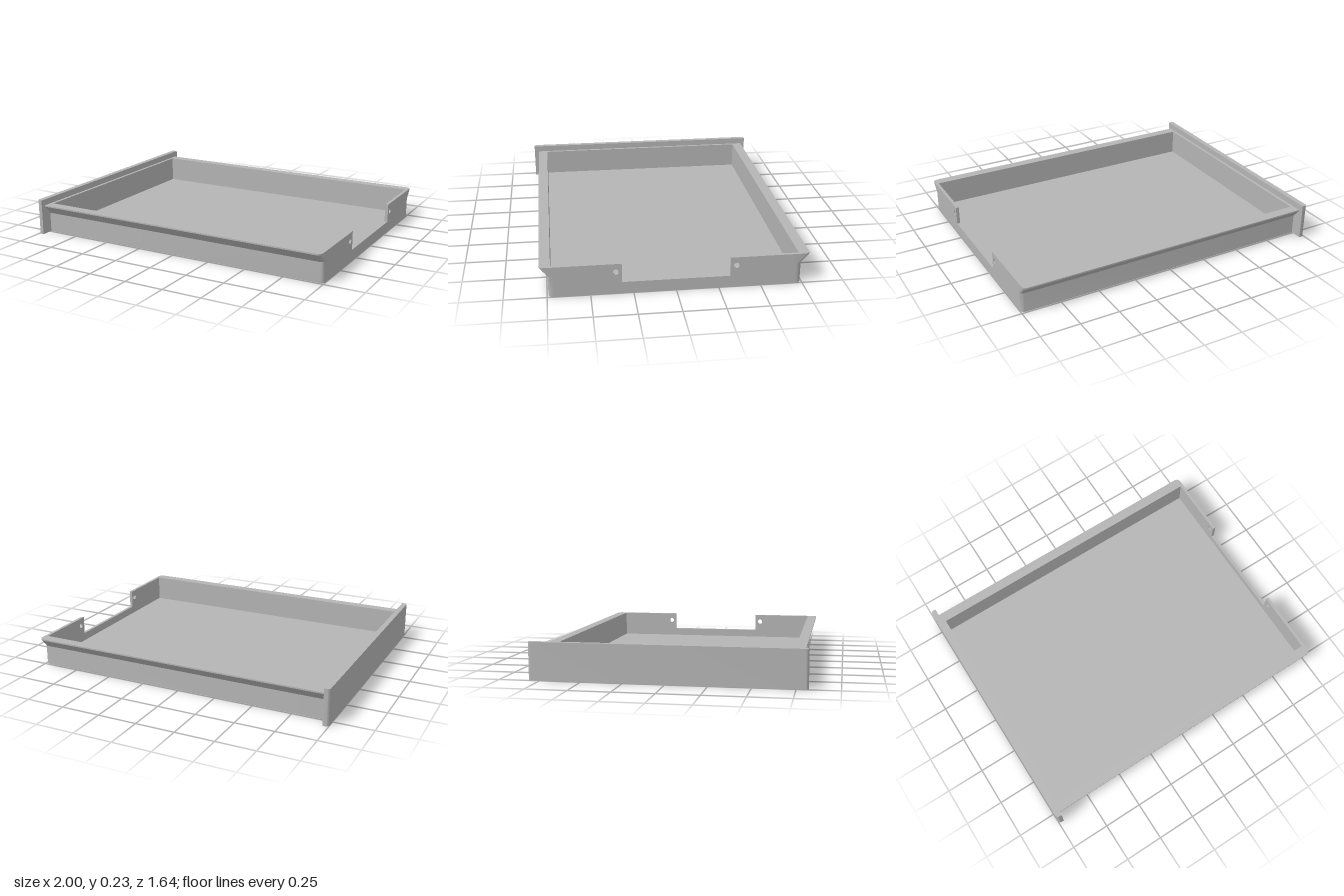
import * as THREE from 'three';
import { toCreasedNormals } from 'three/addons/utils/BufferGeometryUtils.js';

const FRONT = -0.965, BACK = 1, WALL = 0.02, INNER_Z = 0.725, JOINT_Z = 0.7;
const TOP = 0.19, FLOOR = 0.02, RADIUS = 0.03;

// Plan outline of one side wall, with a rounded rear corner
function sideOutline(halfWidth) {
  const pts = [[FRONT, INNER_Z], [FRONT, halfWidth]];
  for (let i = 0; i <= 6; i++) {
    const a = (i / 6) * Math.PI / 2;
    pts.push([BACK - RADIUS + RADIUS * Math.sin(a), halfWidth - RADIUS + RADIUS * Math.cos(a)]);
  }
  pts.push([BACK, JOINT_Z], [BACK - WALL, JOINT_Z], [BACK - WALL, INNER_Z]);
  return pts;
}

// Side wall lofted upward through [height, half width] levels, flaring into a runner
function sideWall(side) {
  const levels = [[0, 0.742], [0.127, 0.742], [0.181, 0.79], [TOP, 0.79]];
  const rings = levels.map(([y, w]) => sideOutline(w).map(([x, z]) => [x, y, z * side]));
  const pos = [];
  const tri = (a, b, c) => pos.push(...(side > 0 ? [a, b, c] : [a, c, b]).flat());
  for (let k = 0; k < rings.length - 1; k++) {
    const lo = rings[k], hi = rings[k + 1];
    lo.forEach((p, i) => {
      const j = (i + 1) % lo.length;
      tri(p, lo[j], hi[j]);
      tri(p, hi[j], hi[i]);
    });
  }
  for (const [ring, width, up] of [[rings[0], 0.742, false], [rings[3], 0.79, true]]) {
    const contour = sideOutline(width).map(([x, z]) => new THREE.Vector2(x, -z));
    for (const [a, b, c] of THREE.ShapeUtils.triangulateShape(contour, [])) {
      if (up) tri(ring[a], ring[b], ring[c]);
      else tri(ring[a], ring[c], ring[b]);
    }
  }
  const geo = new THREE.BufferGeometry();
  geo.setAttribute('position', new THREE.Float32BufferAttribute(pos, 3));
  return toCreasedNormals(geo, 0.5);
}

// Rear wall with a central notch and two screw holes
function rearWall() {
  const s = new THREE.Shape();
  s.moveTo(-JOINT_Z, 0);
  s.lineTo(JOINT_Z, 0);
  s.lineTo(JOINT_Z, TOP);
  s.lineTo(0.318, TOP);
  s.lineTo(0.318, 0.072);
  s.lineTo(-0.318, 0.072);
  s.lineTo(-0.318, TOP);
  s.lineTo(-JOINT_Z, TOP);
  s.closePath();
  for (const u of [-0.353, 0.353]) {
    s.holes.push(new THREE.Path().absarc(u, 0.138, 0.017, 0, Math.PI * 2, true));
  }
  const geo = new THREE.ExtrudeGeometry(s, { depth: WALL, bevelEnabled: false, curveSegments: 20 });
  return toCreasedNormals(geo.rotateY(Math.PI / 2).translate(BACK - WALL, 0, 0), 0.5);
}

// Face plate with its two outer upright edges rounded
function facePlate() {
  const w = 0.82, r = 0.018;
  const s = new THREE.Shape();
  s.moveTo(FRONT, -w);
  s.lineTo(FRONT, w);
  s.lineTo(-1 + r, w);
  s.absarc(-1 + r, w - r, r, Math.PI / 2, Math.PI, false);
  s.lineTo(-1, -w + r);
  s.absarc(-1 + r, -w + r, r, Math.PI, Math.PI * 1.5, false);
  s.closePath();
  const geo = new THREE.ExtrudeGeometry(s, { depth: 0.23, bevelEnabled: false, curveSegments: 6 });
  return toCreasedNormals(geo.rotateX(-Math.PI / 2), 0.5);
}

export function createModel() {
  const group = new THREE.Group();
  group.name = 'drawer';
  const grey = new THREE.MeshStandardMaterial({ color: 0xb4b4b4 });
  grey.name = 'grey';
  const add = (name, geo) => {
    const mesh = new THREE.Mesh(geo, grey);
    mesh.name = name;
    group.add(mesh);
  };
  const innerLength = BACK - WALL - FRONT;

  add('floor', new THREE.BoxGeometry(innerLength, FLOOR, INNER_Z * 2)
    .translate(FRONT + innerLength / 2, FLOOR / 2, 0));
  add('frontWall', new THREE.BoxGeometry(WALL, TOP - FLOOR, INNER_Z * 2)
    .translate(FRONT + WALL / 2, (TOP + FLOOR) / 2, 0));
  add('leftWall', sideWall(1));
  add('rightWall', sideWall(-1));
  add('rearWall', rearWall());
  add('facePlate', facePlate());
  return group;
}
